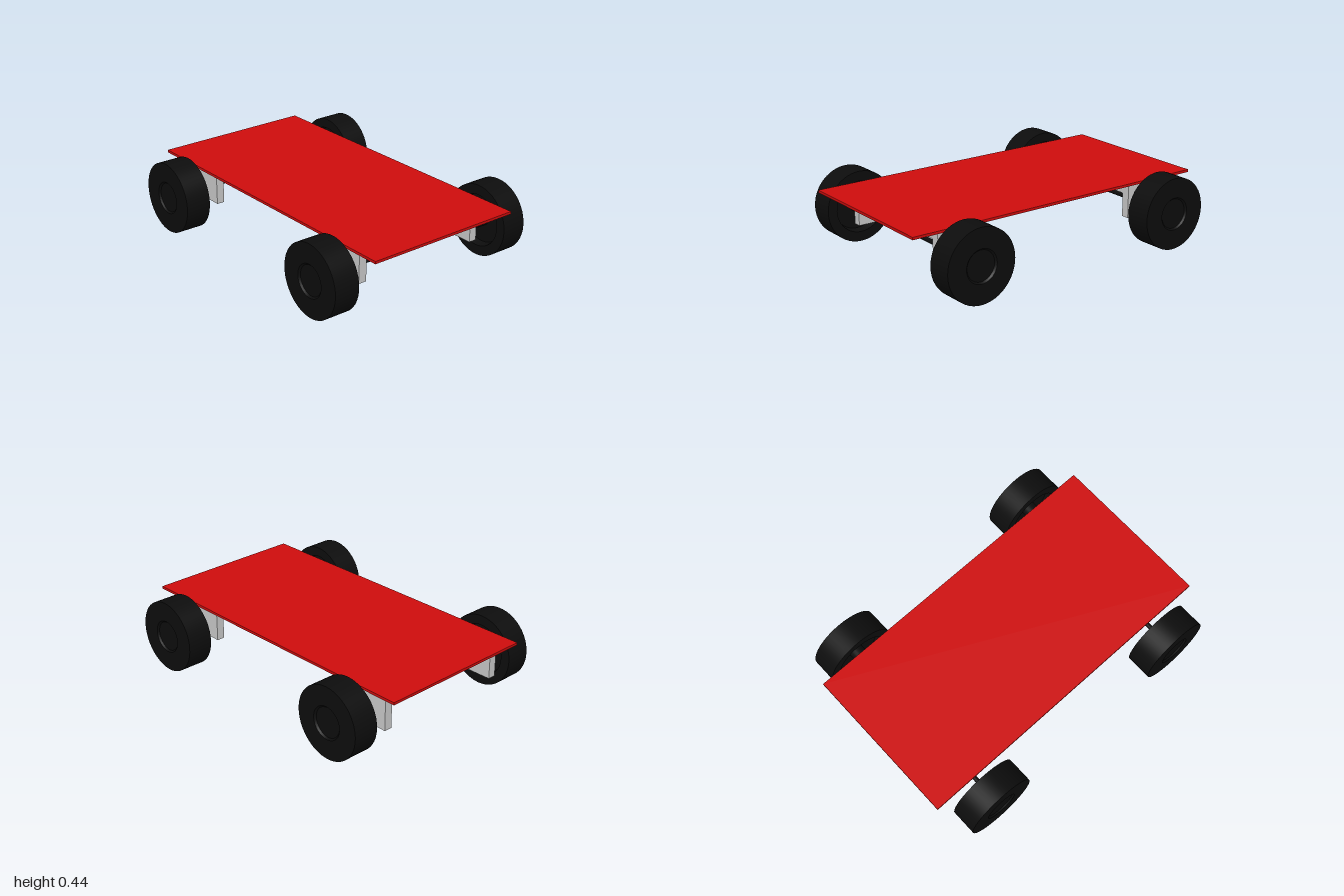
import * as THREE from 'three';
import { toCreasedNormals } from 'three/addons/utils/BufferGeometryUtils.js';

const red = new THREE.MeshStandardMaterial({ color: 0xd00d0d });
red.name = 'deck red';
const grey = new THREE.MeshStandardMaterial({ color: 0xcccccc });
grey.name = 'bracket grey';
const black = new THREE.MeshStandardMaterial({ color: 0x0d0d0d });
black.name = 'rubber black';

const AXLE_Y = 0.22;

function add(parent, name, geometry, material, x = 0, y = 0, z = 0) {
  const mesh = new THREE.Mesh(geometry, material);
  mesh.name = name;
  mesh.position.set(x, y, z);
  parent.add(mesh);
  return mesh;
}

// Upside-down U bracket, extruded along z
function bracketGeometry(left, right, depth) {
  const t = 0.05, bottom = 0.16, under = 0.305, top = 0.375;
  const shape = new THREE.Shape([
    [left, bottom], [left + t, bottom], [left + t, under], [right - t, under],
    [right - t, bottom], [right, bottom], [right, top], [left, top],
  ].map(([x, y]) => new THREE.Vector2(x, y)));
  return new THREE.ExtrudeGeometry(shape, { depth, bevelEnabled: false });
}

// Wheel turned about its axle: recessed inner side, shallow dish outside
function wheelGeometry() {
  const profile = [
    [0, -0.03], [0.15, -0.03], [0.16, -0.08], [0.22, -0.08],
    [0.22, 0.08], [0.1, 0.08], [0.09, 0.07], [0, 0.07],
  ].map(([r, h]) => new THREE.Vector2(r, h));
  const geometry = toCreasedNormals(new THREE.LatheGeometry(profile, 48), 0.6);
  return geometry.rotateZ(-Math.PI / 2);
}

export function createModel() {
  const model = new THREE.Group();
  model.name = 'rollingChassis';

  // Flat deck
  add(model, 'deck', new THREE.BoxGeometry(1, 0.016, 2), red, 0, 0.383, 0);

  // Axle brackets
  add(model, 'frontBracket', bracketGeometry(-0.44, 0.435, 0.25), grey, 0, 0, 0.55);
  add(model, 'rearBracket', bracketGeometry(-0.44, 0.46, 0.35), grey, 0, 0, -0.9);

  // Axles, hubs and wheels
  const wheel = wheelGeometry();
  const axle = new THREE.CylinderGeometry(0.014, 0.014, 1.08, 24).rotateZ(Math.PI / 2);
  const hub = new THREE.CylinderGeometry(0.045, 0.045, 0.08, 24).rotateZ(Math.PI / 2);
  for (const [end, z] of [['front', 0.7], ['rear', -0.7]]) {
    add(model, end + 'Axle', axle, black, 0, AXLE_Y, z);
    for (const [side, s] of [['Left', 1], ['Right', -1]]) {
      add(model, end + side + 'Hub', hub, black, s * 0.56, AXLE_Y, z);
      const mesh = add(model, end + side + 'Wheel', wheel, black, s * 0.62, AXLE_Y, z);
      if (s < 0) mesh.rotation.y = Math.PI;
    }
  }
  return model;
}
